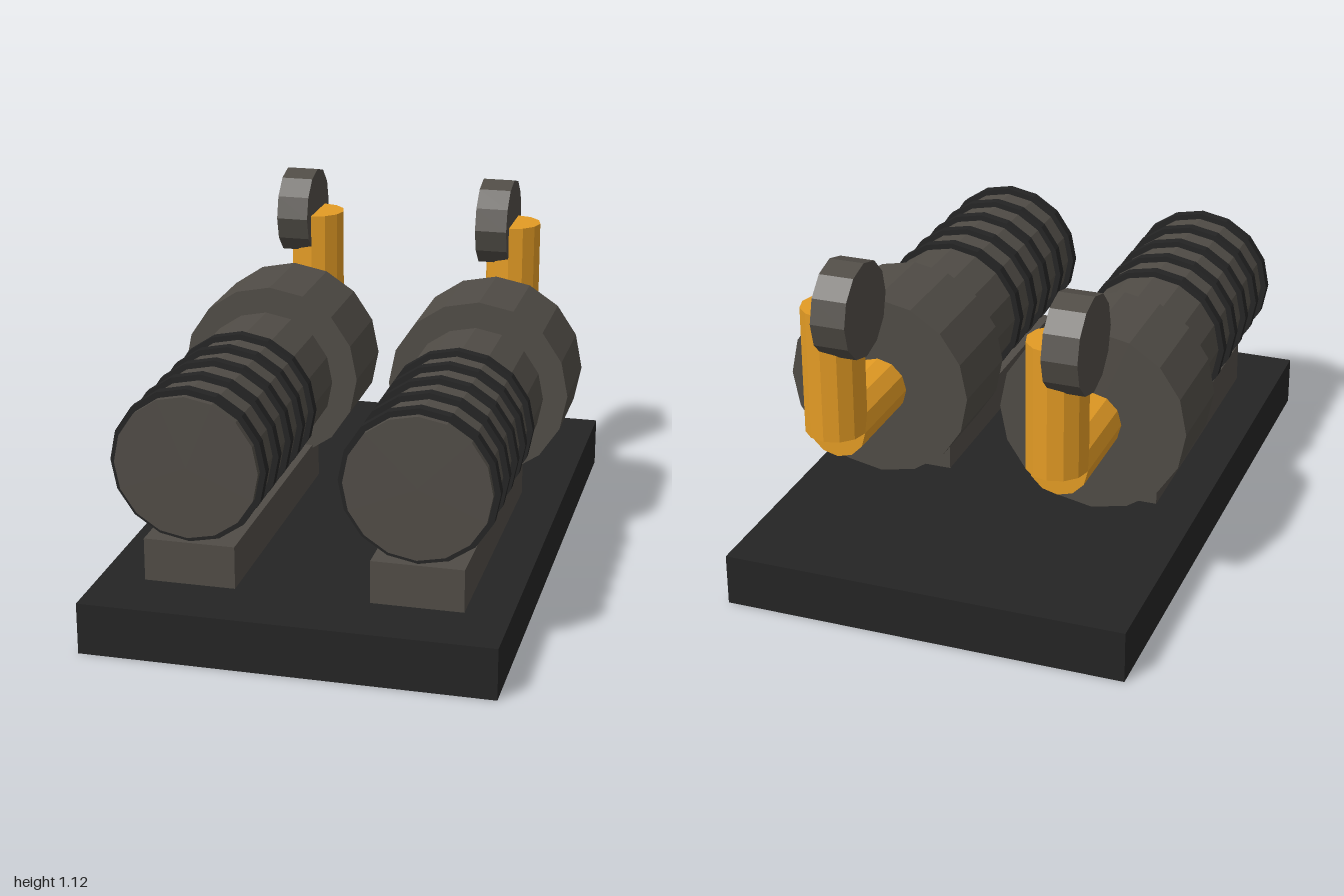
import * as THREE from 'three';

export function createModel() {
  const model = new THREE.Group();
  model.name = 'twinPumpUnit';

  const mat = (name, color) => {
    const m = new THREE.MeshStandardMaterial({ color, flatShading: true });
    m.name = name;
    return m;
  };
  const black = mat('black', 0x242424);
  const grey = mat('warmGrey', 0x504c46);
  const orange = mat('pipeOrange', 0xe39b24);

  const add = (parent, name, geometry, material, x, y, z) => {
    const mesh = new THREE.Mesh(geometry, material);
    mesh.name = name;
    mesh.position.set(x, y, z);
    parent.add(mesh);
  };
  // Cylinder lying along z, from zBack to zFront
  const alongZ = (parent, name, r, zBack, zFront, sides, material, y) => {
    const g = new THREE.CylinderGeometry(r, r, zFront - zBack, sides).rotateX(Math.PI / 2);
    add(parent, name, g, material, 0, y, (zBack + zFront) / 2);
  };

  const baseTop = 0.167, footTop = 0.306, axisY = 0.557, pipeZ = -0.776, pipeTop = 0.973;

  add(model, 'basePlate', new THREE.BoxGeometry(1.306, baseTop, 2), black, 0, baseTop / 2, 0);

  const makePump = (name, x) => {
    const pump = new THREE.Group();
    pump.name = name;
    pump.position.x = x;

    // Mounting foot
    add(pump, 'foot', new THREE.BoxGeometry(0.293, footTop - baseTop, 1), grey,
      0, (baseTop + footTop) / 2, 0.28);

    // Motor with cooling rings, and the wider pump casing behind it
    alongZ(pump, 'motor', 0.23, -0.094, 0.792, 16, grey, axisY);
    for (let i = 0; i < 5; i++) {
      const z = 0.198 + i * 0.139;
      alongZ(pump, 'coolingRing', 0.249, z - 0.017, z + 0.017, 16, black, axisY);
    }
    alongZ(pump, 'casing', 0.305, -0.454, -0.137, 16, grey, axisY);

    // Outlet pipe, riser and valve wheel
    alongZ(pump, 'outletPipe', 0.096, pipeZ, -0.45, 12, orange, axisY);
    add(pump, 'riserPipe', new THREE.CylinderGeometry(0.096, 0.096, pipeTop - axisY, 12), orange,
      0, (pipeTop + axisY) / 2, pipeZ);
    add(pump, 'valveWheel', new THREE.CylinderGeometry(0.152, 0.152, 0.111, 12).rotateZ(Math.PI / 2), grey,
      -0.0555, pipeTop, pipeZ);

    model.add(pump);
  };
  makePump('rightPump', -0.361);
  makePump('leftPump', 0.361);

  return model;
}
